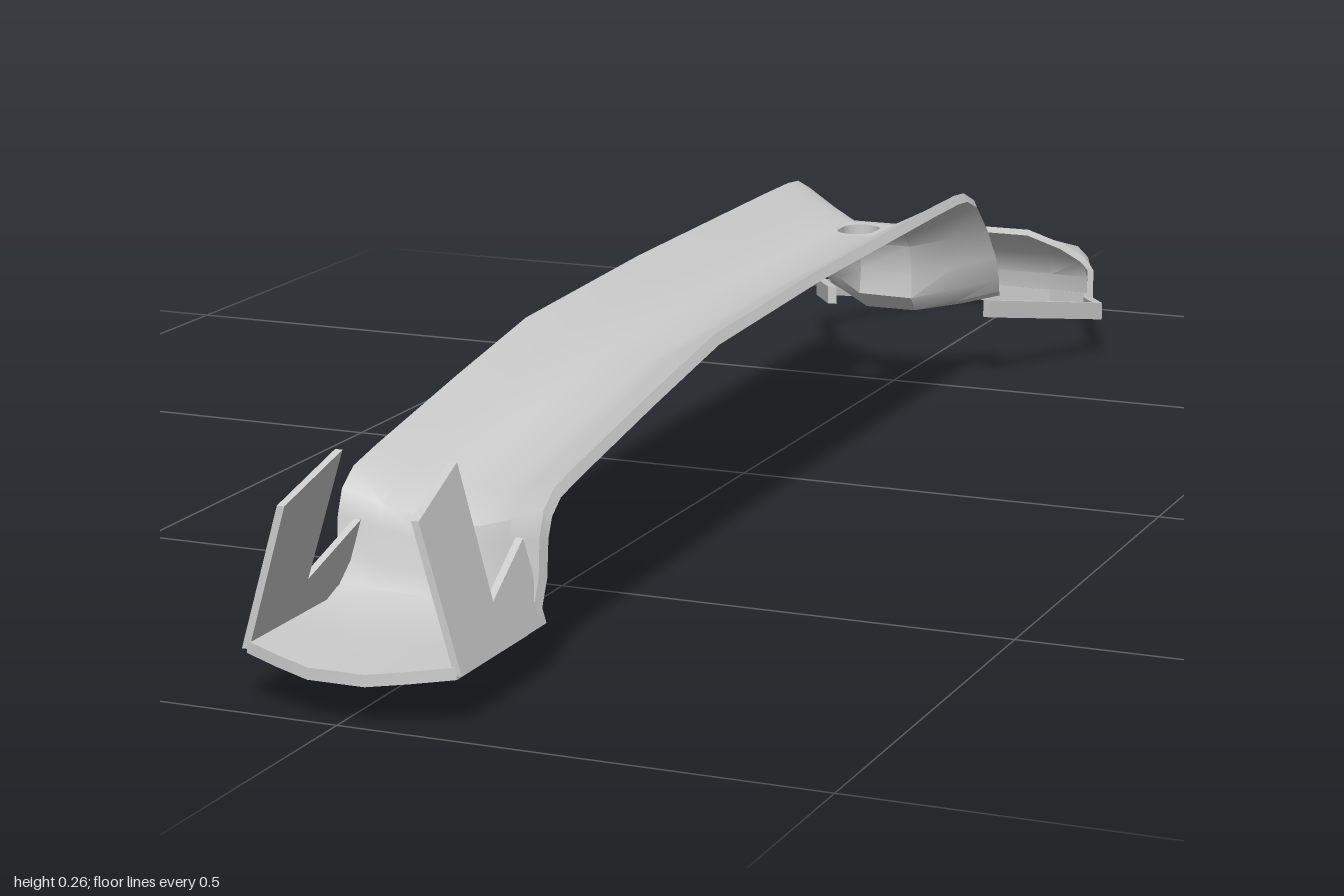
import * as THREE from 'three';
import { toCreasedNormals } from 'three/addons/utils/BufferGeometryUtils.js';

const material = new THREE.MeshStandardMaterial({ color: 0xcccccc });
material.side = THREE.DoubleSide;

// Solid sheet of thickness t below a grid of [x, y, z] points; skip(i, j) leaves a cell open.
function sheet(grid, t, skip = () => false) {
  const rows = grid.length, cols = grid[0].length, n = rows * cols;
  const top = [];
  for (let i = 0; i < rows - 1; i++) {
    for (let j = 0; j < cols - 1; j++) {
      if (skip(i, j)) continue;
      const a = i * cols + j, b = a + 1, d = a + cols, c = d + 1;
      top.push(a, b, d, b, c, d);
    }
  }
  const skin = new THREE.BufferGeometry();
  skin.setAttribute('position', new THREE.Float32BufferAttribute(grid.flat(2), 3));
  skin.setIndex(top);
  skin.computeVertexNormals();
  const p = skin.attributes.position, m = skin.attributes.normal;
  const pos = [...p.array];
  for (let k = 0; k < n; k++) {
    pos.push(p.getX(k) - m.getX(k) * t, p.getY(k) - m.getY(k) * t, p.getZ(k) - m.getZ(k) * t);
  }
  const index = [...top];
  for (let k = 0; k < top.length; k += 3) index.push(top[k] + n, top[k + 2] + n, top[k + 1] + n);
  // rim around the sheet
  const rim = [];
  for (let j = 0; j < cols - 1; j++) rim.push(j);
  for (let i = 0; i < rows - 1; i++) rim.push(i * cols + cols - 1);
  for (let j = cols - 1; j > 0; j--) rim.push((rows - 1) * cols + j);
  for (let i = rows - 1; i > 0; i--) rim.push(i * cols);
  rim.forEach((a, k) => {
    const b = rim[(k + 1) % rim.length];
    index.push(a, a + n, b, b, a + n, b + n);
  });
  const geo = new THREE.BufferGeometry();
  geo.setAttribute('position', new THREE.Float32BufferAttribute(pos, 3));
  geo.setIndex(index);
  return toCreasedNormals(geo, 0.6);
}

// Moves every vertex by a rule
function warp(geo, rule) {
  const p = geo.attributes.position, v = new THREE.Vector3();
  for (let i = 0; i < p.count; i++) {
    rule(v.fromBufferAttribute(p, i));
    p.setXYZ(i, v.x, v.y, v.z);
  }
  geo.computeVertexNormals();
  return geo;
}

const polygon = (pts) => new THREE.Shape(pts.map(([x, y]) => new THREE.Vector2(x, y)));

export function createModel() {
  const model = new THREE.Group();
  const add = (name, geo) => {
    const mesh = new THREE.Mesh(geo, material);
    mesh.name = name;
    model.add(mesh);
  };

  // Channel: centre line (z, y) and edge line (z, y) for each cross-section, front to back
  const sections = [
    [1.0, 0.055, 0.97, 0.063], [0.9, 0.055, 0.9, 0.063], [0.8, 0.055, 0.82, 0.063],
    [0.775, 0.064, 0.8, 0.074], [0.765, 0.085, 0.788, 0.1], [0.76, 0.115, 0.785, 0.14],
    [0.753, 0.135, 0.775, 0.165], [0.73, 0.148, 0.75, 0.182], [0.69, 0.156, 0.7, 0.192],
    [0.52, 0.184, 0.52, 0.223], [0.35, 0.21, 0.35, 0.25], [0.05, 0.22, 0.05, 0.261],
    [-0.33, 0.222, -0.33, 0.265], [-0.41, 0.222, -0.41, 0.265], [-0.43, 0.22, -0.445, 0.262],
    [-0.455, 0.21, -0.485, 0.246], [-0.473, 0.19, -0.525, 0.207], [-0.48, 0.15, -0.555, 0.165],
    [-0.476, 0.122, -0.566, 0.135], [-0.49, 0.11, -0.573, 0.122], [-0.53, 0.104, -0.58, 0.115],
  ];
  const columns = [[-0.11, 1], [-0.07, 0.47], [-0.03, 0], [0.03, 0], [0.07, 0.47], [0.11, 1]];
  const lerp = THREE.MathUtils.lerp;
  const channel = sections.map(([zc, yc, ze, ye]) =>
    columns.map(([x, w]) => [x, lerp(yc, ye, w), lerp(zc, ze, w)]));
  add('channel', sheet(channel, 0.012, (i, j) => i === 12 && j === 2));

  // Flat cell of the channel with a rounded slot through it
  const plate = polygon([[-0.03, -0.04], [0.03, -0.04], [0.03, 0.04], [-0.03, 0.04]]);
  const slot = new THREE.Path();
  slot.absarc(0, 0.008, 0.023, 0, Math.PI);
  slot.absarc(0, -0.008, 0.023, Math.PI, Math.PI * 2);
  slot.closePath();
  plate.holes.push(slot);
  const slotPlate = new THREE.ExtrudeGeometry(plate, { depth: 0.012, bevelEnabled: false, curveSegments: 8 });
  slotPlate.rotateX(-Math.PI / 2).translate(0, 0.21, -0.37);
  add('slotPlate', slotPlate);

  // Side walls with upright prongs leaning inwards over the front floor
  const wall = polygon([[0.785, 0.055], [0.97, 0.055], [0.97, 0.2], [0.87, 0.232], [0.875, 0.1], [0.785, 0.138]]);
  for (const side of [1, -1]) {
    const geo = new THREE.ExtrudeGeometry(wall, { depth: 0.008, bevelEnabled: false });
    geo.rotateY(-Math.PI / 2);
    add(side > 0 ? 'leftProng' : 'rightProng', warp(geo, (v) => {
      v.x += side * (0.115 - 0.29 * (v.y - 0.06)) + (side < 0 ? 0.008 : 0);
    }));
  }

  // Angular loop sloping down to the back: outer and inner outlines (x, z)
  const outer = [[0.11, -0.55], [0.2, -0.74], [0.147, -0.87], [0.112, -0.98], [0.05, -1]];
  const inner = [[0.1, -0.555], [0.186, -0.74], [0.135, -0.865], [0.103, -0.97], [0.048, -0.988]];
  const mirrored = (pts) => [...pts, ...pts.map(([x, z]) => [-x, z]).reverse()];
  const band = polygon([...mirrored(outer), ...mirrored(inner).reverse()].map(([x, z]) => [x, -z]));
  const loop = new THREE.ExtrudeGeometry(band, { depth: 0.022, bevelEnabled: false });
  loop.rotateX(-Math.PI / 2);
  add('loop', warp(loop, (v) => { v.y += 0.002 + 0.18 * (v.z + 1); }));

  // Hood over the back of the loop, from the base up to the open front arch
  const hoodHalf = [
    [[0.147, 0.028, -0.87], [0.112, 0.008, -0.98], [0.05, 0.003, -1]],
    [[0.147, 0.085, -0.869], [0.112, 0.052, -0.98], [0.05, 0.05, -1]],
    [[0.14, 0.096, -0.868], [0.11, 0.082, -0.962], [0.05, 0.085, -0.98]],
    [[0.134, 0.102, -0.867], [0.107, 0.104, -0.925], [0.05, 0.111, -0.935]],
    [[0.128, 0.106, -0.866], [0.1, 0.116, -0.878], [0.05, 0.13, -0.884]],
  ];
  add('hood', sheet(hoodHalf.map((r) => [...r, ...r.map(([x, y, z]) => [-x, y, z]).reverse()]), 0.008));

  return model;
}
